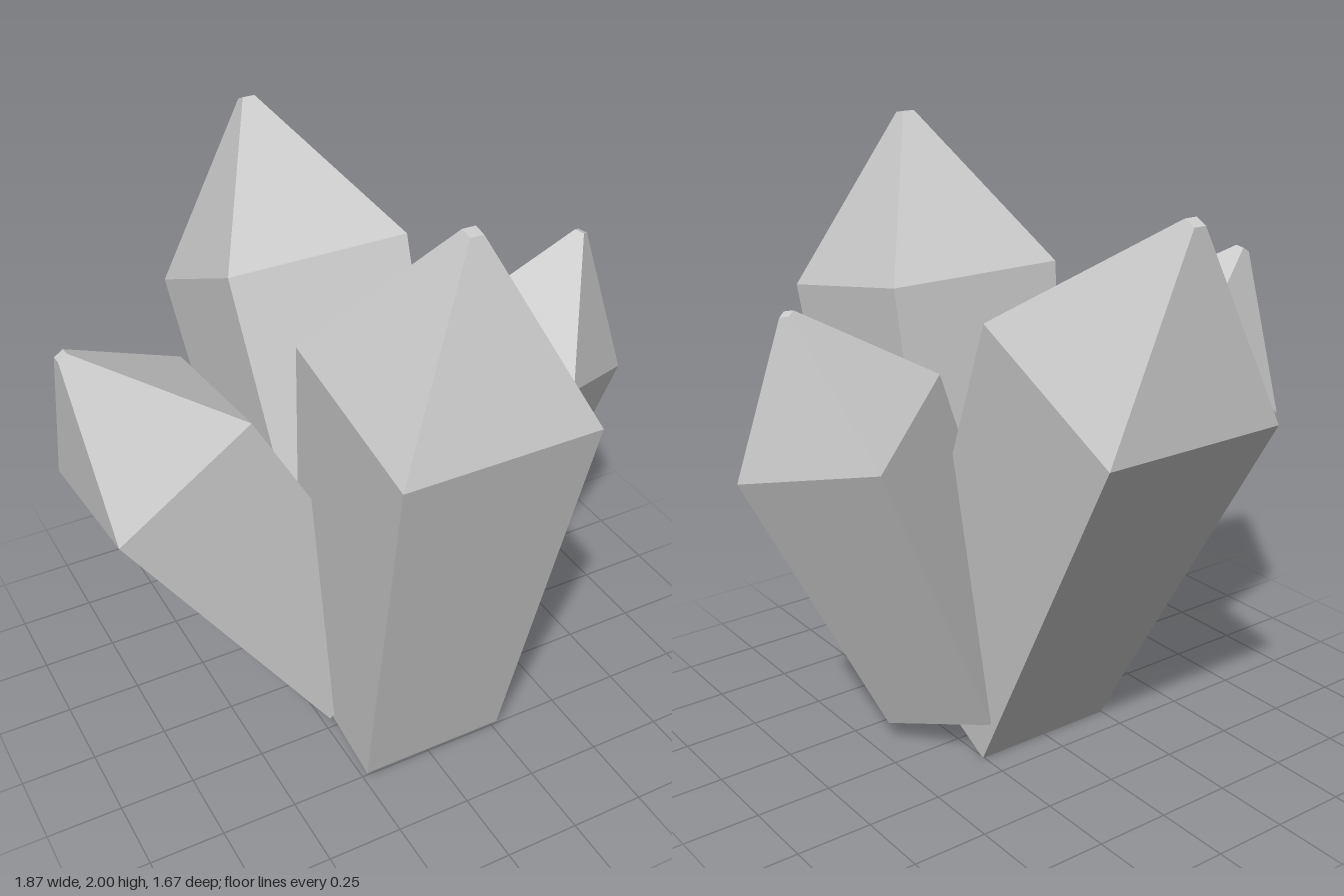
import * as THREE from 'three';

const material = new THREE.MeshStandardMaterial({ color: 0xcccccc, flatShading: true });

// Four-sided crystal along +y: tapered shaft widening to a shoulder, then a blunt pyramid tip.
function crystalGeometry() {
  const profile = [[0, 0], [0.25, 0], [0.3175, 1.408], [0.021, 1.945], [0, 1.945]]
    .map(([halfWidth, y]) => new THREE.Vector2(halfWidth * Math.SQRT2, y));
  const geometry = new THREE.LatheGeometry(profile, 4, Math.PI / 4).toNonIndexed();
  geometry.computeVertexNormals();
  return geometry;
}

// Place a crystal by base centre, axis direction and the direction one face looks towards.
function crystal(name, geometry, base, axis, facing, scale) {
  const y = new THREE.Vector3(...axis).normalize();
  const x = new THREE.Vector3().crossVectors(y, new THREE.Vector3(...facing)).normalize();
  const z = new THREE.Vector3().crossVectors(x, y);
  const mesh = new THREE.Mesh(geometry, material);
  mesh.name = name;
  mesh.quaternion.setFromRotationMatrix(new THREE.Matrix4().makeBasis(x, y, z));
  mesh.position.set(...base);
  mesh.scale.setScalar(scale);
  return mesh;
}

export function createModel() {
  const group = new THREE.Group();
  group.name = 'crystalCluster';
  const geometry = crystalGeometry();
  group.add(
    crystal('frontCrystal', geometry, [0.005, 0.085, 0.275], [0, 0.985, 0.174], [0, 0, 1], 1),
    crystal('backCrystal', geometry, [0.005, 0.117, 0.074], [0, 0.896, -0.444], [0, 0, 1], 1),
    crystal('rightCrystal', geometry, [-0.091, 0.179, 0.073], [-0.522, 0.85, -0.08], [0.015, 0.106, 0.994], 0.82),
    crystal('leftCrystal', geometry, [0.204, 0.183, 0.058], [0.39, 0.92, -0.01], [-0.78, 0.33, 0.534], 0.767),
  );
  return group;
}
